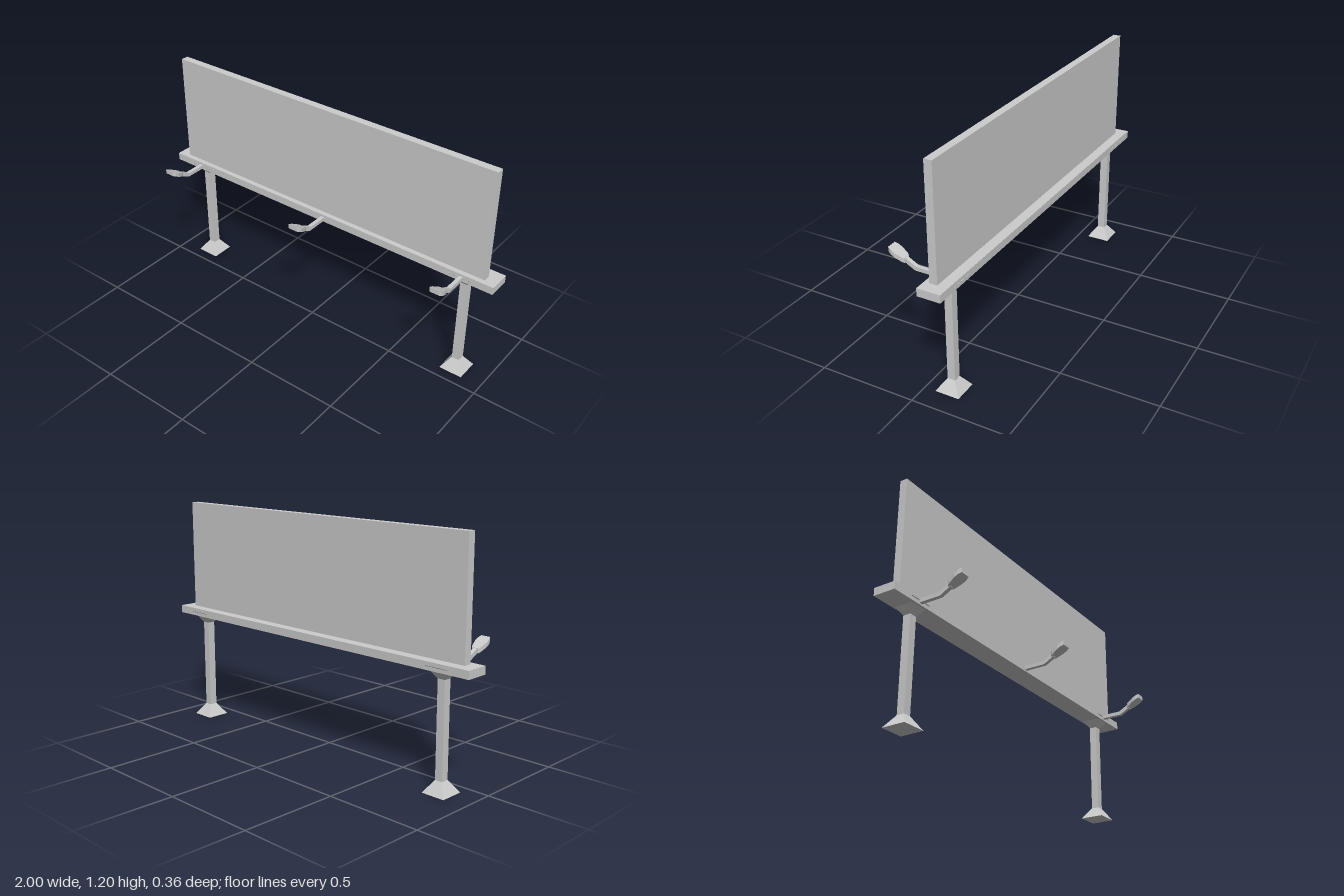
import * as THREE from 'three';

const material = new THREE.MeshStandardMaterial({ color: 0xcccccc, flatShading: true });
const BEAM_Z = -0.119;

function add(parent, name, geometry, x = 0, y = 0, z = 0) {
  const mesh = new THREE.Mesh(geometry, material);
  mesh.name = name;
  mesh.position.set(x, y, z);
  parent.add(mesh);
  return mesh;
}

// Square frustum given by its top and bottom widths
function frustum(top, bottom, height) {
  return new THREE.CylinderGeometry(top / Math.SQRT2, bottom / Math.SQRT2, height, 4)
    .rotateY(Math.PI / 4);
}

function polygon(points) {
  return new THREE.Shape(points.map(([x, y]) => new THREE.Vector2(x, y)));
}

// Post with flared foot and flared capital that sinks into the beam
function createPost() {
  const post = new THREE.Group();
  post.name = 'post';
  add(post, 'foot', frustum(0.04, 0.124, 0.061), 0, 0.0305, 0);
  add(post, 'shaft', new THREE.BoxGeometry(0.04, 0.476, 0.04), 0, 0.298, 0);
  add(post, 'capital', frustum(0.124, 0.04, 0.061), 0, 0.5665, 0);
  return post;
}

// Bent arm carrying a tapered lamp head
function createLamp() {
  const lamp = new THREE.Group();
  lamp.name = 'lamp';

  // Arm side profile (z, y), extruded across x
  const arm = new THREE.ExtrudeGeometry(polygon([
    [-0.07, 0.583], [0.056, 0.583], [0.112, 0.613], [0.112, 0.637], [0.049, 0.603], [-0.07, 0.603],
  ]), { depth: 0.02, bevelEnabled: false });
  arm.translate(0, 0, -0.01).rotateY(-Math.PI / 2);
  add(lamp, 'lampArm', arm);

  // Head plan outline (half width, z), mirrored and then sheared to follow the slope
  const half = [[0.017, 0.104], [0.023, 0.112], [0.032, 0.148], [0.031, 0.168], [0.025, 0.183]];
  const outline = [...half, ...half.map(([x, z]) => [-x, z]).reverse()];
  const head = new THREE.ExtrudeGeometry(polygon(outline.map(([x, z]) => [x, -z])),
    { depth: 0.023, bevelEnabled: false });
  head.rotateX(-Math.PI / 2);
  const p = head.attributes.position;
  for (let i = 0; i < p.count; i++) {
    p.setY(i, p.getY(i) + 0.613 + 0.53 * (p.getZ(i) - 0.107));
  }
  head.computeVertexNormals();
  add(lamp, 'lampHead', head);
  return lamp;
}

export function createModel() {
  const model = new THREE.Group();
  model.name = 'billboard';

  add(model, 'beam', new THREE.BoxGeometry(2, 0.04, 0.119), 0, 0.595, BEAM_Z);
  add(model, 'panel', new THREE.BoxGeometry(1.88, 0.582, 0.04), 0, 0.904, -0.106);

  for (const x of [-0.825, 0.831]) {
    const post = createPost();
    post.position.set(x, 0, BEAM_Z);
    model.add(post);
  }
  for (const x of [-0.825, 0.02, 0.831]) {
    const lamp = createLamp();
    lamp.position.x = x;
    model.add(lamp);
  }
  return model;
}
